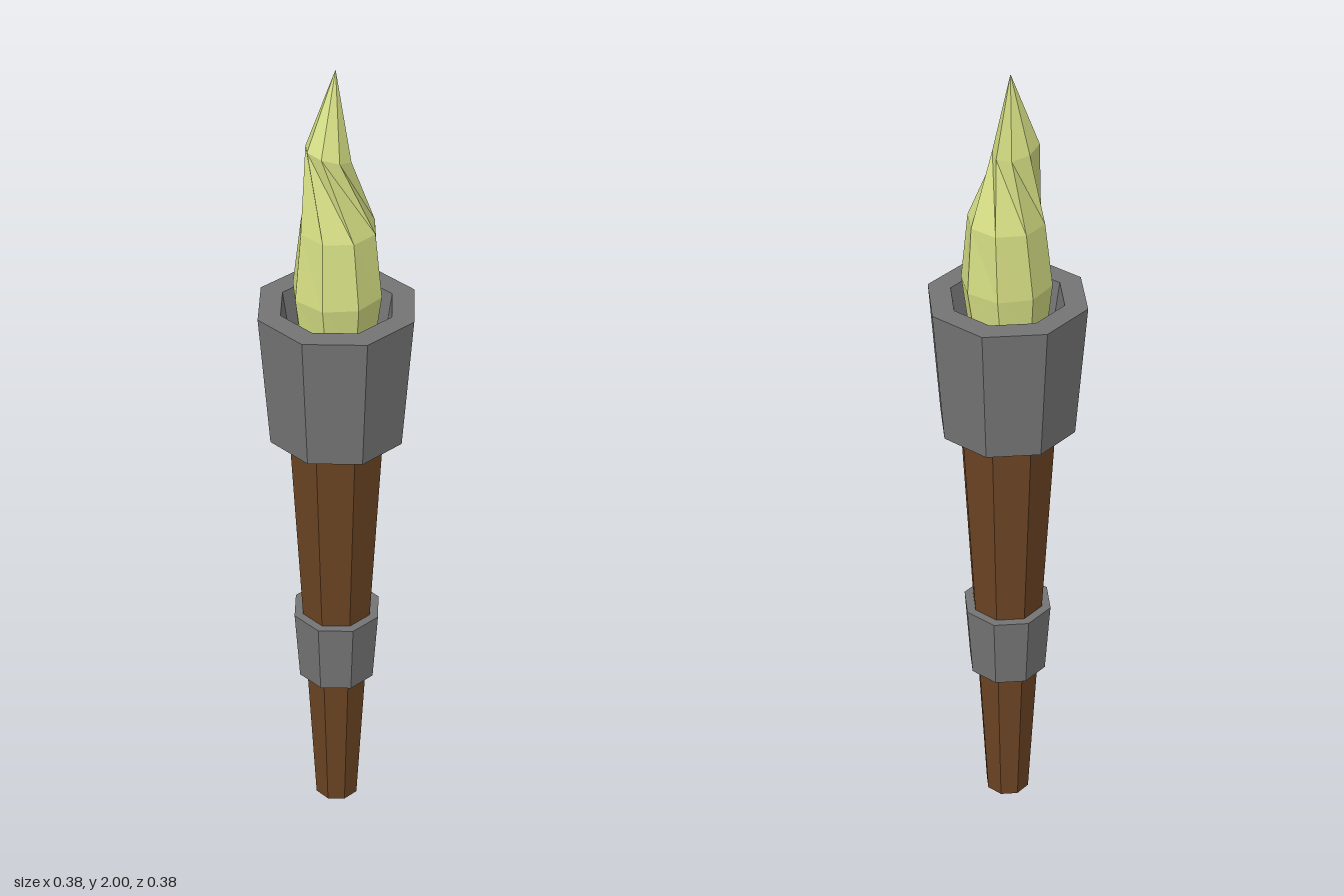
import * as THREE from 'three';

const SIDES = 8;
const wood = new THREE.MeshStandardMaterial({ color: 0x6b4423, flatShading: true });
const iron = new THREE.MeshStandardMaterial({ color: 0x747474, flatShading: true });
const fire = new THREE.MeshStandardMaterial({ color: 0xd3dc82, flatShading: true });

// Eight-sided turned part from [radius, height] pairs, listed bottom to top on the outside
function turned(name, profile, material) {
  const points = profile.map(([r, y]) => new THREE.Vector2(r, y));
  const mesh = new THREE.Mesh(new THREE.LatheGeometry(points, SIDES).toNonIndexed(), material);
  mesh.geometry.computeVertexNormals();
  mesh.name = name;
  return mesh;
}

// Twisting flame lofted through tilted rings that close in a point
function makeFlame() {
  // height, centre x, centre z, radius, twist in degrees, tilt (rise toward -x)
  const rings = [
    [1.26, 0, 0, 0.075, 8, 0],
    [1.36, 0, 0, 0.092, 8, 0],
    [1.47, 0, 0.003, 0.106, 6, 0],
    [1.63, 0.003, 0, 0.09, 2, 0],
    [1.81, -0.015, -0.012, 0.053, -38, 0.3],
  ].map(([y, cx, cz, r, twist, tilt]) =>
    Array.from({ length: SIDES }, (_, i) => {
      const a = (i / SIDES) * Math.PI * 2 + THREE.MathUtils.degToRad(twist);
      const dx = r * Math.sin(a);
      return new THREE.Vector3(cx + dx, y - tilt * dx, cz + r * Math.cos(a));
    }));
  const tip = new THREE.Vector3(0.01, 2, -0.033);
  const base = new THREE.Vector3(0, 1.26, 0);
  const corners = [];
  const top = rings[rings.length - 1];
  for (let i = 0; i < SIDES; i++) {
    const j = (i + 1) % SIDES;
    for (let k = 0; k < rings.length - 1; k++) {
      const low = rings[k], up = rings[k + 1];
      corners.push(low[i], low[j], up[i], low[j], up[j], up[i]);
    }
    corners.push(top[i], top[j], tip);
    corners.push(rings[0][j], rings[0][i], base);
  }
  const geometry = new THREE.BufferGeometry().setFromPoints(corners);
  geometry.computeVertexNormals();
  const mesh = new THREE.Mesh(geometry, fire);
  mesh.name = 'flame';
  return mesh;
}

export function createModel() {
  const torch = new THREE.Group();
  torch.name = 'torch';
  torch.add(
    // Tapered wooden shaft
    turned('handle', [[0, 0], [0.055, 0], [0.118, 1.1], [0, 1.1]], wood),
    // Metal band around the shaft
    turned('gripBand', [[0.07, 0.39], [0.097, 0.39], [0.11, 0.575], [0.08, 0.575]], iron),
    // Hollow metal bowl with a thick rim
    turned('bowl', [[0.11, 1.088], [0.165, 1.095], [0.191, 1.43], [0.136, 1.43], [0.11, 1.26], [0, 1.26]], iron),
    makeFlame(),
  );
  return torch;
}
